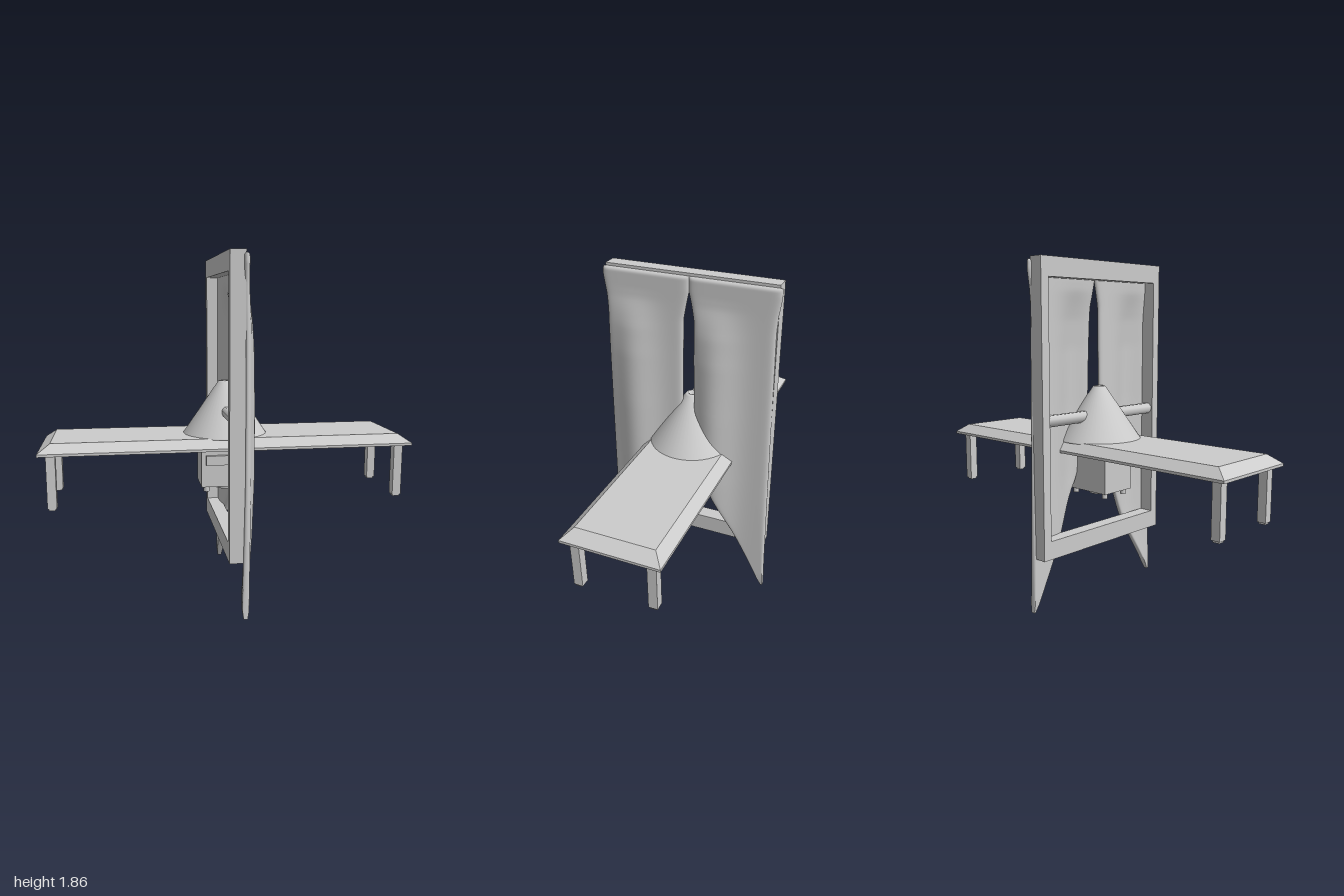
import * as THREE from 'three';

const material = new THREE.MeshStandardMaterial({ color: 0xcccccc, side: THREE.DoubleSide });

function add(parent, name, geometry, x = 0, y = 0, z = 0) {
  const mesh = new THREE.Mesh(geometry, material);
  mesh.name = name;
  mesh.position.set(x, y, z);
  parent.add(mesh);
  return mesh;
}

// Box given by its min and max corners
function addBox(parent, name, [x0, y0, z0], [x1, y1, z1]) {
  return add(parent, name, new THREE.BoxGeometry(x1 - x0, y1 - y0, z1 - z0),
    (x0 + x1) / 2, (y0 + y1) / 2, (z0 + z1) / 2);
}

// Linear interpolation through [y, value] pairs
function profile(points, y) {
  let k = 0;
  while (k < points.length - 2 && y > points[k + 1][0]) k++;
  const [y0, v0] = points[k], [y1, v1] = points[k + 1];
  return v0 + (v1 - v0) * THREE.MathUtils.clamp((y - y0) / (y1 - y0), 0, 1);
}

const innerEdge = [[0, 0.463], [0.68, 0.105], [0.95, 0.055], [1.15, 0.036], [1.62, 0.03], [1.7, 0.015], [1.77, 0]];
const outerEdge = [[0, 0.475], [1.62, 0.455], [1.7, 0.46], [1.8, 0.475], [1.846, 0.472]];
const fullness = [[0, 0], [0.2, 0.5], [0.4, 0.8], [0.7, 1], [1.1, 1], [1.4, 0.88], [1.55, 0.65], [1.62, 0.4], [1.7, 0.06], [1.75, 0]];

// Cloth panel: thin rounded cross-sections stacked in y, with one soft fold
function curtainGeometry(side, foldZ) {
  const n = 28, rows = 64, top = 1.846, loop = 2 * n;
  const position = [], index = [];
  for (let j = 0; j <= rows; j++) {
    const y = top * Math.sin((j / rows) * Math.PI / 2);
    const a = side * profile(innerEdge, y), b = side * profile(outerEdge, y);
    const z0 = Math.min(a, b), z1 = Math.max(a, b);
    const d = Math.min(1, (top - y) / 0.018, (y + 0.004) / 0.018);
    const half = 0.018 * Math.sqrt(Math.max(0, 1 - (1 - d) ** 2));
    for (let i = 0; i < loop; i++) {
      const s = -Math.cos(Math.PI * i / n);
      const z = z0 + (z1 - z0) * (s + 1) / 2;
      const face = (i < n ? 1 : -1) * half * Math.sqrt(Math.max(0, 1 - Math.abs(s) ** 16));
      const fold = 0.054 * profile(fullness, y) * Math.exp(-(((z - foldZ) / 0.115) ** 2));
      position.push(0.038 + fold + face, y, z);
    }
  }
  for (let j = 0; j < rows; j++) {
    for (let i = 0; i < loop; i++) {
      const p = j * loop + i, q = j * loop + (i + 1) % loop;
      index.push(p, p + loop, q, q, p + loop, q + loop);
    }
  }
  const g = new THREE.BufferGeometry();
  g.setAttribute('position', new THREE.Float32BufferAttribute(position, 3));
  g.setIndex(index);
  g.computeVertexNormals();
  return g;
}

// Slab whose top is drawn inward into a chamfer
function tableTopGeometry() {
  const box = new THREE.BoxGeometry(2, 2, 2, 1, 2, 1);
  const p = box.attributes.position;
  for (let i = 0; i < p.count; i++) {
    const level = p.getY(i);
    const isTop = level > 0.5;
    p.setXYZ(i, p.getX(i) * (isTop ? 0.935 : 1),
      isTop ? 0.902 : level < -0.5 ? 0.842 : 0.856,
      p.getZ(i) * (isTop ? 0.208 : 0.26) - 0.005);
  }
  const g = box.toNonIndexed();
  g.computeVertexNormals();
  return g;
}

export function createModel() {
  const model = new THREE.Group();

  // Window frame
  const frame = new THREE.Group();
  frame.name = 'windowFrame';
  model.add(frame);
  const x0 = -0.045, x1 = 0.035, w = 0.46;
  addBox(frame, 'frameTop', [x0, 1.76, -w], [x1, 1.86, w]);
  addBox(frame, 'frameSill', [x0, 0.3, -w], [x1, 0.4, w]);
  addBox(frame, 'frameSide', [x0, 0.4, w - 0.05], [x1, 1.76, w]);
  addBox(frame, 'frameSide', [x0, 0.4, -w], [x1, 1.76, 0.05 - w]);
  const bar = new THREE.CylinderGeometry(0.032, 0.032, 0.82, 8).rotateY(Math.PI / 8).rotateX(Math.PI / 2);
  bar.computeVertexNormals();
  add(frame, 'crossbar', bar, -0.005, 1.03, 0);

  // Curtains
  add(model, 'leftCurtain', curtainGeometry(1, 0.3));
  add(model, 'rightCurtain', curtainGeometry(-1, -0.15));

  // Table
  const table = new THREE.Group();
  table.name = 'table';
  model.add(table);
  add(table, 'tableTop', tableTopGeometry());
  for (const x of [-0.935, 0.935]) {
    for (const z of [-0.2, 0.2]) {
      addBox(table, 'tableLeg', [x - 0.024, 0.56, z - 0.024], [x + 0.024, 0.845, z + 0.024]);
      addBox(table, 'legFoot', [x - 0.018, 0.55, z - 0.018], [x + 0.018, 0.56, z + 0.018]);
    }
  }

  // Conical shade with a small open collar
  const shade = [[0.23, 0.895], [0.23, 0.902], [0.038, 1.183], [0.032, 1.19], [0.018, 1.19], [0.018, 1.17], [0, 1.17]];
  const shadeMesh = add(model, 'lampShade',
    new THREE.LatheGeometry(shade.map(([r, y]) => new THREE.Vector2(r, y)), 48));
  shadeMesh.geometry.computeVertexNormals();

  // Box hanging below the table
  const unit = new THREE.Group();
  unit.name = 'lampBase';
  model.add(unit);
  addBox(unit, 'baseBody', [-0.143, 0.612, -0.105], [0.14, 0.815, 0.105]);
  addBox(unit, 'basePlate', [-0.165, 0.818, -0.12], [0.16, 0.83, 0.12]);
  addBox(unit, 'baseNeck', [-0.13, 0.81, -0.095], [0.13, 0.85, 0.095]);
  addBox(unit, 'frontPanel', [-0.118, 0.737, 0.1], [0.115, 0.79, 0.124]);
  add(unit, 'bottomKnob', new THREE.CylinderGeometry(0.06, 0.055, 0.027, 24), 0, 0.6, 0);
  for (const x of [-0.113, 0.11]) {
    for (const z of [-0.075, 0.075]) {
      add(unit, 'baseFoot', new THREE.CylinderGeometry(0.016, 0.016, 0.032, 12), x, 0.598, z);
    }
  }
  return model;
}
